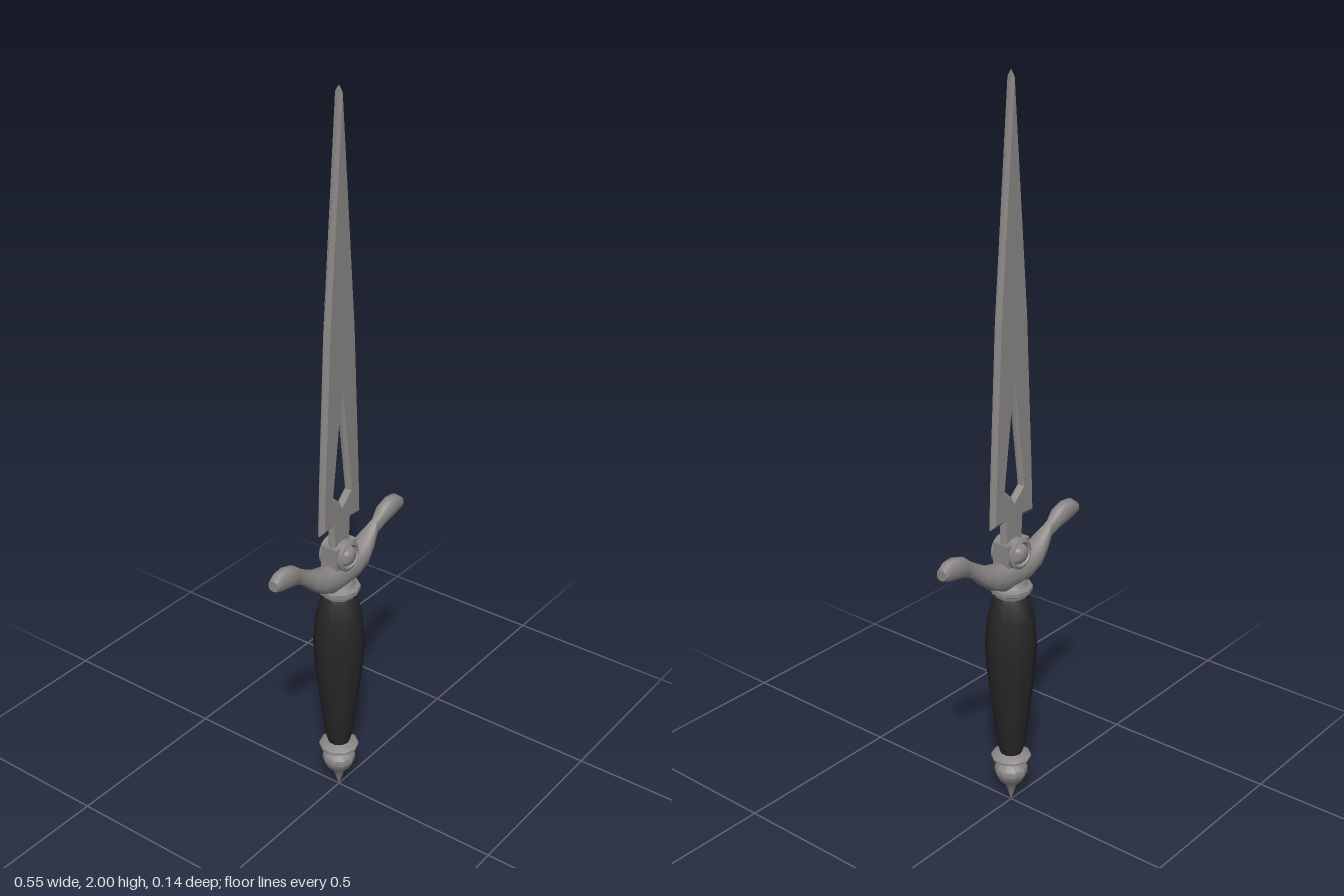
import * as THREE from 'three';
import { toCreasedNormals } from 'three/addons/utils/BufferGeometryUtils.js';

const steel = new THREE.MeshStandardMaterial({ color: 0x8b8787 });
steel.name = 'steel';
const grip = new THREE.MeshStandardMaterial({ color: 0x272727 });
grip.name = 'darkGrip';

const vectors = (points) => points.map(([x, y]) => new THREE.Vector2(x, y));

// Turned part with a profile of [radius, height], listed from bottom to top
function turned(name, profile, sides, material) {
  const geometry = toCreasedNormals(new THREE.LatheGeometry(vectors(profile), sides), 0.7);
  const mesh = new THREE.Mesh(geometry, material);
  mesh.name = name;
  return mesh;
}

// Flat blade with bevelled cutting edges and a pierced slot
function makeBlade() {
  const half = [[0.045, 0.72], [0.04, 0.8], [0.043, 0.857], [0.085, 0.855], [0.08, 1.0], [0.06, 1.4]];
  const mirrored = half.map(([x, y]) => [-x, y]).reverse();
  const shape = new THREE.Shape(vectors([...half, [0, 2], ...mirrored]));
  shape.holes.push(new THREE.Path(vectors([[0, 1.235], [-0.029, 0.945], [0, 0.918], [0.029, 0.945]])));
  const geometry = new THREE.ExtrudeGeometry(shape, {
    depth: 0.004, bevelEnabled: true, bevelThickness: 0.009,
    bevelSize: 0.011, bevelOffset: -0.011, bevelSegments: 1,
  });
  geometry.translate(0, 0, -0.002);
  const mesh = new THREE.Mesh(geometry, steel);
  mesh.name = 'blade';
  return mesh;
}

// Crossguard lofted from rounded sections along x
function makeGuard() {
  // x, centre height, half height, half depth
  const half = [
    [0, 0.706, 0.042, 0.036], [0.05, 0.708, 0.038, 0.035], [0.09, 0.722, 0.034, 0.034],
    [0.125, 0.745, 0.03, 0.026], [0.16, 0.772, 0.024, 0.012], [0.19, 0.793, 0.028, 0.02],
    [0.225, 0.802, 0.029, 0.022], [0.255, 0.803, 0.026, 0.018], [0.273, 0.8, 0.015, 0.015],
    [0.273, 0.8, 0, 0],
  ];
  const stations = [...half.slice(1).reverse().map(([x, ...rest]) => [-x, ...rest]), ...half];
  const sides = 12;
  const positions = [];
  const index = [];
  const soften = (v) => Math.sign(v) * Math.pow(Math.abs(v), 0.8);
  stations.forEach(([x, y, h, d], i) => {
    for (let j = 0; j < sides; j++) {
      const a = (j / sides) * Math.PI * 2;
      positions.push(x, y + h * soften(Math.cos(a)), d * soften(Math.sin(a)));
      if (i === stations.length - 1) continue;
      const k = (j + 1) % sides;
      const p = i * sides;
      const q = p + sides;
      index.push(p + j, p + k, q + j, p + k, q + k, q + j);
    }
  });
  const geometry = new THREE.BufferGeometry();
  geometry.setAttribute('position', new THREE.Float32BufferAttribute(positions, 3));
  geometry.setIndex(index);
  const mesh = new THREE.Mesh(toCreasedNormals(geometry, 0.8), steel);
  mesh.name = 'crossguard';
  return mesh;
}

export function createModel() {
  const model = new THREE.Group();
  model.name = 'dagger';
  model.add(makeBlade(), makeGuard());

  // Block that seats the blade in the guard
  const socket = new THREE.Mesh(new THREE.BoxGeometry(0.088, 0.09, 0.05), steel);
  socket.name = 'bladeSocket';
  socket.position.y = 0.755;
  model.add(socket);

  // Round boss with a raised rim, showing on both faces
  const rim = [[0, 0.047], [0.018, 0.043], [0.026, 0.034], [0.028, 0.03], [0.034, 0.038], [0.042, 0.034]];
  const boss = turned('roundBoss', [...rim.map(([r, z]) => [r, -z]), ...[...rim].reverse()], 16, steel);
  boss.rotation.x = Math.PI / 2;
  boss.position.y = 0.767;
  model.add(boss);

  // Collar, handle and pommel
  model.add(turned('collar', [
    [0, 0.642], [0.046, 0.642], [0.048, 0.65], [0.058, 0.656], [0.058, 0.667], [0.046, 0.672], [0.04, 0.685], [0, 0.685],
  ], 10, steel));
  model.add(turned('handle', [
    [0, 0.15], [0.03, 0.155], [0.038, 0.185], [0.05, 0.29], [0.064, 0.4], [0.07, 0.49],
    [0.063, 0.575], [0.05, 0.63], [0.042, 0.648], [0, 0.648],
  ], 10, grip));
  model.add(turned('pommel', [
    [0, 0.002], [0.009, 0.03], [0.018, 0.055], [0.035, 0.072], [0.046, 0.095], [0.045, 0.112],
    [0.03, 0.128], [0.034, 0.134], [0.055, 0.142], [0.055, 0.148], [0.034, 0.16], [0, 0.16],
  ], 10, steel));
  return model;
}
